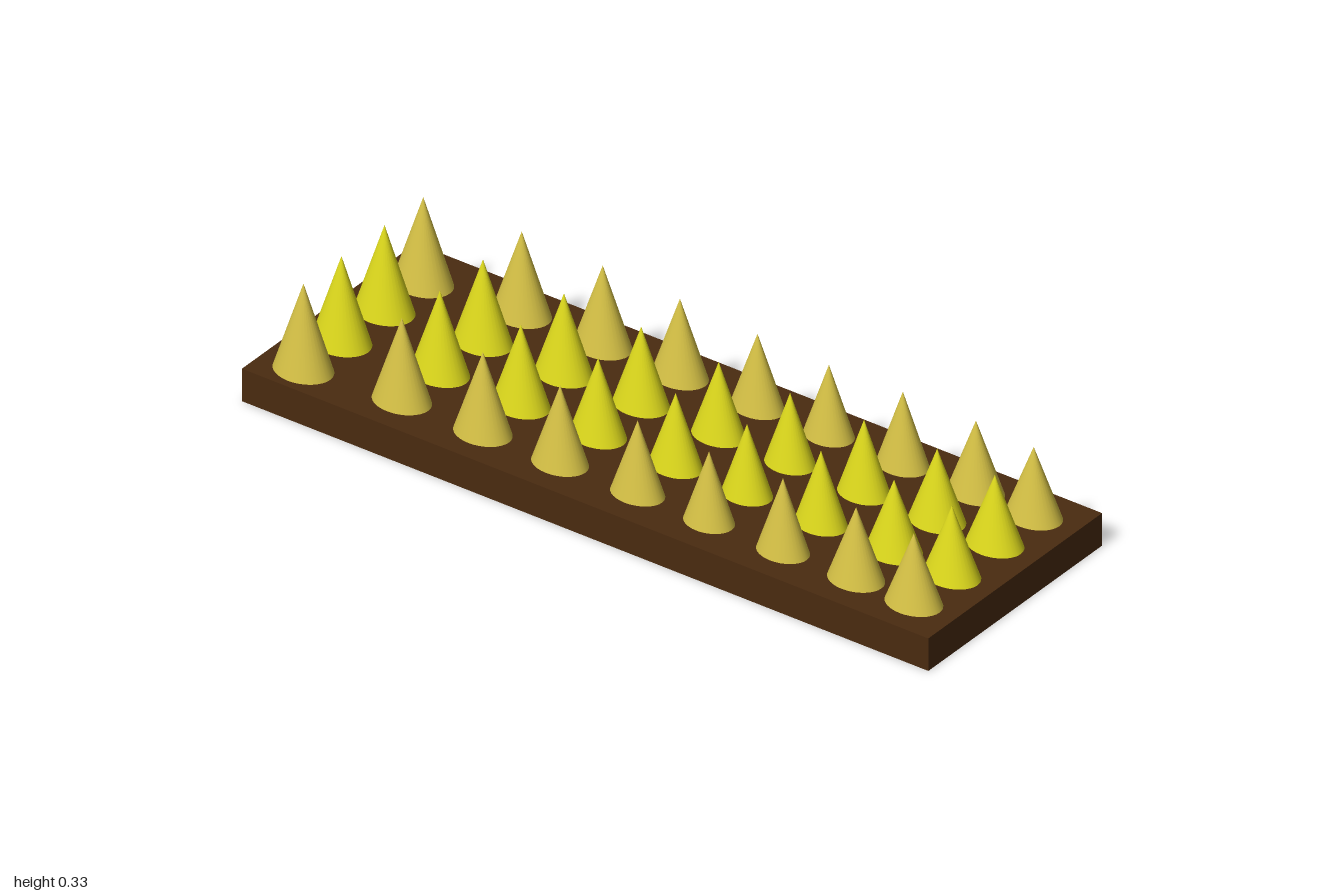
import * as THREE from 'three';

export function createModel() {
  const model = new THREE.Group();
  model.name = 'spikeBoard';
  const paint = (color) => new THREE.MeshStandardMaterial({ color });

  // Flat wooden board
  const boardTop = 0.09;
  const board = new THREE.Mesh(new THREE.BoxGeometry(0.686, boardTop, 2), paint(0x4a2b10));
  board.name = 'board';
  board.position.y = boardTop / 2;
  model.add(board);

  // Four columns of spikes: pale outer ones, bright inner ones
  const outer = paint(0xd4c045);
  const inner = paint(0xdcd81c);
  const columns = [
    { x: -0.233, material: outer },
    { x: -0.083, material: inner },
    { x: 0.087, material: inner },
    { x: 0.24, material: outer },
  ];

  // Rows from back to front: z, tip height, half width, half depth, sideways shift
  const rows = [
    [-0.882, 0.328, 0.062, 0.078, -0.027],
    [-0.615, 0.319, 0.059, 0.077, 0],
    [-0.379, 0.313, 0.058, 0.076, 0],
    [-0.154, 0.305, 0.056, 0.074, 0],
    [0.072, 0.292, 0.052, 0.071, 0],
    [0.28, 0.284, 0.051, 0.066, 0],
    [0.497, 0.292, 0.052, 0.069, -0.002],
    [0.707, 0.288, 0.057, 0.074, 0.002],
    [0.879, 0.282, 0.057, 0.075, -0.003],
  ];

  // Unit cone standing on its base, stretched to an oval for each spike
  const cone = new THREE.ConeGeometry(1, 1, 32).translate(0, 0.5, 0);
  rows.forEach(([z, tip, halfWidth, halfDepth, shift], r) => {
    const row = new THREE.Group();
    row.name = `spikeRow${r + 1}`;
    row.position.set(shift, boardTop, z);
    columns.forEach(({ x, material }, c) => {
      const spike = new THREE.Mesh(cone, material);
      spike.name = `spike${c + 1}`;
      spike.position.x = x;
      spike.scale.set(halfWidth, tip - boardTop, halfDepth);
      row.add(spike);
    });
    model.add(row);
  });

  return model;
}
